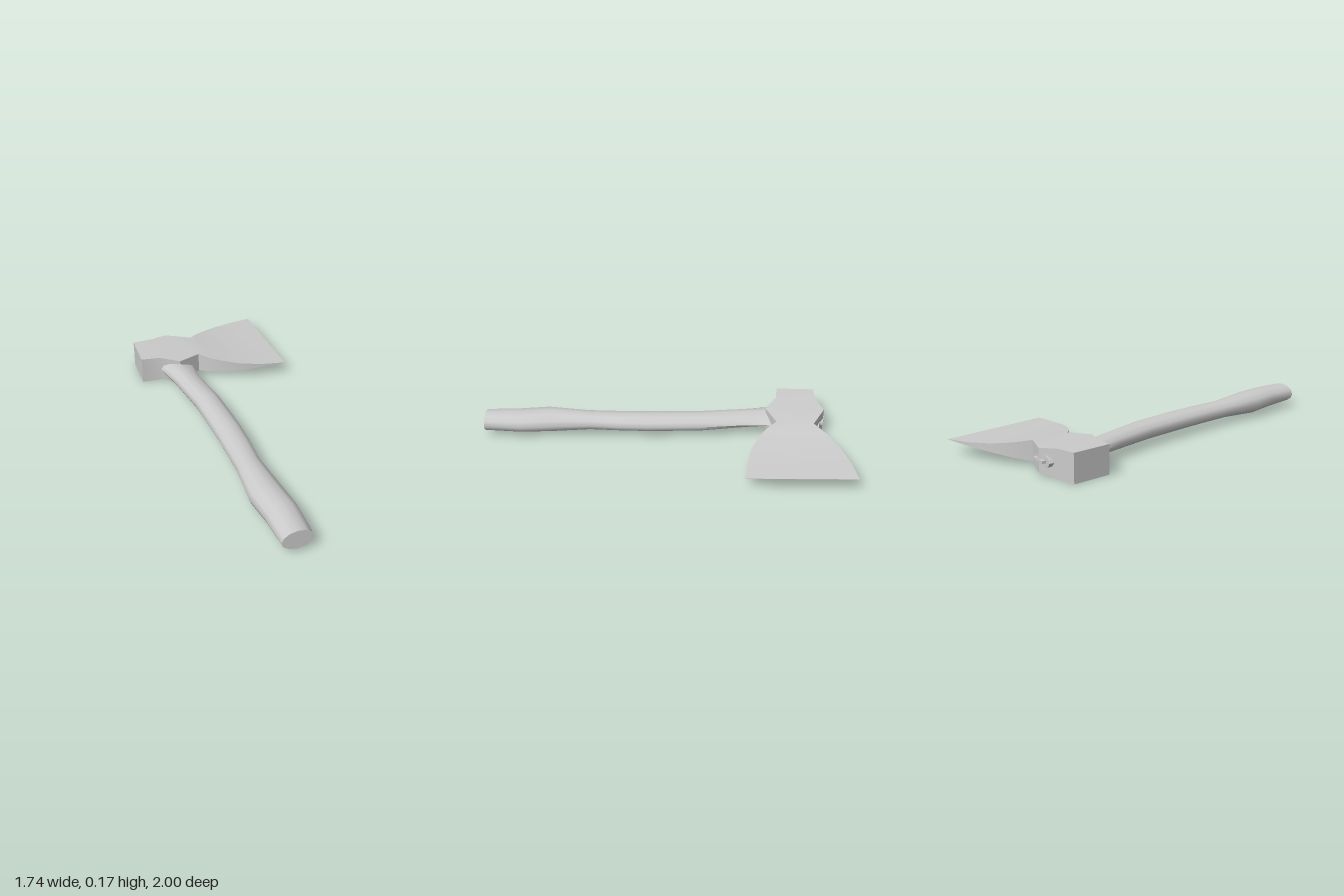
import * as THREE from 'three';
import { toCreasedNormals } from 'three/addons/utils/BufferGeometryUtils.js';

const MID = 0.085; // height of the symmetry plane of the lying axe

// Skin a list of equal-length point rings and close both ends
function loft(rings, crease) {
  const n = rings[0].length;
  const index = [];
  rings.slice(1).forEach((_, i) => {
    for (let j = 0; j < n; j++) {
      const a = i * n + j, b = i * n + (j + 1) % n;
      index.push(a, b, b + n, a, b + n, a + n);
    }
  });
  const last = (rings.length - 1) * n;
  for (let j = 1; j < n - 1; j++) {
    index.push(0, j + 1, j, last, last + j, last + j + 1);
  }
  const geometry = new THREE.BufferGeometry();
  geometry.setAttribute('position', new THREE.Float32BufferAttribute(rings.flat(2), 3));
  geometry.setIndex(index);
  return toCreasedNormals(geometry, crease);
}

// Oval ring between two edge points; point > 0 pinches it to a teardrop
function ovalRing([x0, z0, x1, z1, h, point = 0], sides = 12) {
  return Array.from({ length: sides }, (_, j) => {
    const a = (j / sides) * Math.PI * 2;
    const t = 0.5 + 0.5 * Math.cos(a);
    const pinch = 1 - point * Math.max(0, Math.cos(a));
    return [x0 + (x1 - x0) * t, MID - h * Math.sin(a) * pinch, z0 + (z1 - z0) * t];
  });
}

// Rectangular ring between two outline points
function slabRing([x0, z0, x1, z1, h]) {
  return [[x1, MID - h, z1], [x0, MID - h, z0], [x0, MID + h, z0], [x1, MID + h, z1]];
}

export function createModel() {
  const group = new THREE.Group();
  const material = new THREE.MeshStandardMaterial({ color: 0xcccccc });
  const add = (name, geometry) => {
    const mesh = new THREE.Mesh(geometry, material);
    mesh.name = name;
    group.add(mesh);
    return mesh;
  };

  // Handle: left edge x, z, right edge x, z, half height, teardrop pinch
  const handle = [
    [-0.87, 0.91, -0.715, 1.0, 0.058],
    [-0.775, 0.73, -0.595, 0.815, 0.065],
    [-0.70, 0.56, -0.515, 0.64, 0.07],
    [-0.55, 0.35, -0.405, 0.41, 0.054],
    [-0.46, 0.195, -0.305, 0.26, 0.054],
    [-0.375, 0.05, -0.215, 0.11, 0.055],
    [-0.21, -0.255, -0.06, -0.19, 0.055],
    [-0.10, -0.52, 0.05, -0.45, 0.052, 0.3],
    [-0.04, -0.70, 0.135, -0.60, 0.05, 0.8],
    [0.04, -0.83, 0.21, -0.73, 0.045, 0.8],
    [0.15, -0.965, 0.29, -0.845, 0.042, 0.8],
  ];
  add('handle', loft(handle.map((s) => ovalRing(s)), 0.9));

  // Head from poll to cutting edge: back x, z, front x, z, half thickness
  const head = [
    [0, -1, -0.125, -0.80, 0.085],
    [0.11, -0.945, -0.03, -0.73, 0.081],
    [0.225, -0.925, 0.035, -0.61, 0.07],
    [0.32, -0.78, 0.19, -0.59, 0.062],
    [0.38, -0.792, 0.21, -0.51, 0.052],
    [0.44, -0.80, 0.25, -0.43, 0.042],
    [0.555, -0.80, 0.32, -0.33, 0.026],
    [0.715, -0.77, 0.425, -0.235, 0.011],
    [0.865, -0.72, 0.545, -0.145, 0.001],
  ];
  add('axeHead', loft(head.map(slabRing), 0.45));

  // Wedge driven into the top of the handle
  const wedge = add('wedge', new THREE.BoxGeometry(0.1, 0.016, 0.05));
  wedge.position.set(0.215, MID, -0.905);
  wedge.rotation.y = -Math.atan2(0.12, 0.14);

  return group;
}
